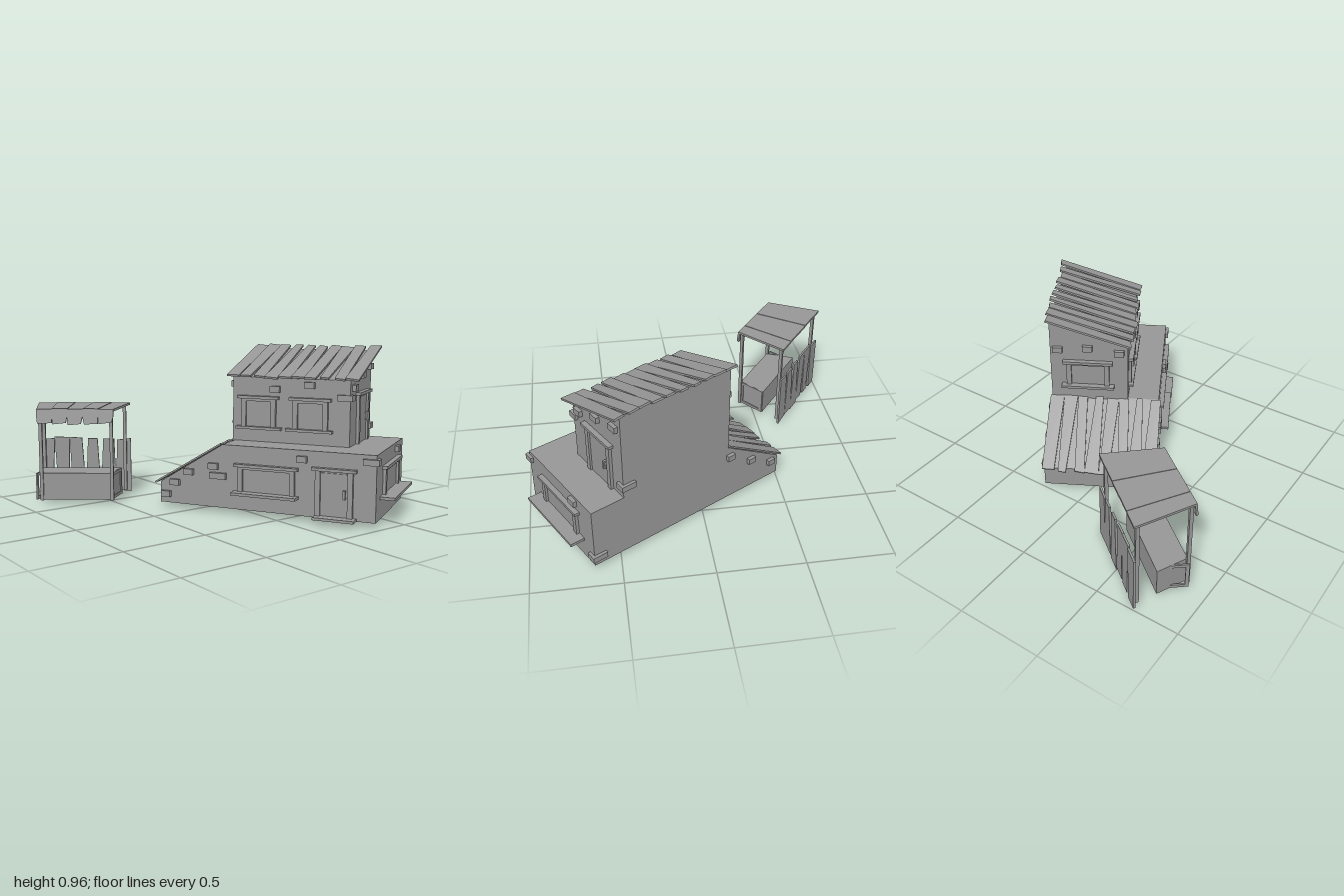
import * as THREE from 'three';

const material = new THREE.MeshStandardMaterial({ color: 0x969696, flatShading: true });

function seeded(seed) {
  return () => {
    seed = (seed * 16807) % 2147483647;
    return seed / 2147483647;
  };
}

function add(parent, name, geometry) {
  const mesh = new THREE.Mesh(geometry, material);
  mesh.name = name;
  parent.add(mesh);
  return mesh;
}

// Box given by its limits on each axis
function box(parent, name, x0, x1, y0, y1, z0, z1) {
  const mesh = add(parent, name, new THREE.BoxGeometry(x1 - x0, y1 - y0, z1 - z0));
  mesh.position.set((x0 + x1) / 2, (y0 + y1) / 2, (z0 + z1) / 2);
}

function prism(points, depth) {
  const shape = new THREE.Shape(points.map(([x, y]) => new THREE.Vector2(x, y)));
  return new THREE.ExtrudeGeometry(shape, { depth, bevelEnabled: false });
}

// Group whose axes are laid along the given directions
function oriented(parent, name, origin, x, y) {
  const group = new THREE.Group();
  group.name = name;
  const ax = new THREE.Vector3(...x).normalize();
  const ay = new THREE.Vector3(...y).normalize();
  const m = new THREE.Matrix4().makeBasis(ax, ay, ax.clone().cross(ay));
  group.quaternion.setFromRotationMatrix(m);
  group.position.set(...origin);
  parent.add(group);
  return group;
}

// Row of rough boards side by side along x, running up along y.
// Each seam is a wedge, closed at one end and open at the other.
function boards(parent, name, { count, width, length, thick, seed, ragged, gap, tilt = 0 }) {
  const rnd = seeded(seed);
  const step = width / count;
  const seam = () => {
    const open = gap * (0.4 + 0.6 * rnd());
    return rnd() < 0.5 ? [open, 0] : [0, open];
  };
  let left = [0, 0];
  for (let i = 0; i < count; i++) {
    const right = i < count - 1 ? seam() : [0, 0];
    const a = -step / 2, b = step / 2;
    const low = rnd() * ragged, high = length - rnd() * ragged;
    const skew = (rnd() - 0.5) * 0.02;
    const board = add(parent, name, prism([
      [a + left[0], low], [b - right[0], Math.max(0, low + skew)],
      [b - right[1], high - skew], [a + left[1], high],
    ], thick));
    board.position.set((i + 0.5) * step, 0, rnd() * 0.005);
    board.rotation.y = tilt * (0.6 + 0.6 * rnd());
    left = right;
  }
}

// Frame around an opening; wall groups have x along the wall and z outward
function frame(wall, name, x0, x1, y0, y1, bar = 0.03) {
  box(wall, name + 'Post', x0, x0 + bar, y0, y1, -0.01, 0.018);
  box(wall, name + 'Post', x1 - bar, x1, y0, y1, -0.01, 0.018);
  box(wall, name + 'Lintel', x0 - 0.02, x1 + 0.02, y1, y1 + 0.017, -0.01, 0.03);
}

function windowFrame(wall, x0, x1, y0, y1, sill0, sill1, sillDepth) {
  frame(wall, 'window', x0, x1, y0, y1);
  box(wall, 'windowPane', x0 + 0.03, x1 - 0.03, y0, y1, -0.01, 0.004);
  box(wall, 'windowRail', x0 + 0.03, x1 - 0.03, y1 - 0.015, y1, -0.01, 0.015);
  box(wall, 'windowSill', sill0, sill1, y0 - 0.016, y0, -0.01, sillDepth);
}

function door(wall, x0, x1, y0, y1) {
  frame(wall, 'door', x0, x1, y0, y1);
  box(wall, 'doorPanel', x0 + 0.03, x1 - 0.03, y0, y1 - 0.012, -0.01, 0.006);
  const hx = x1 - 0.046, hy = (y0 + y1) / 2 + 0.003;
  box(wall, 'doorHandle', hx - 0.007, hx + 0.007, hy - 0.025, hy + 0.025, 0.022, 0.03);
  for (const s of [-1, 1]) {
    box(wall, 'handleStub', hx - 0.007, hx + 0.007, hy + s * 0.02 - 0.005, hy + s * 0.02 + 0.005, 0, 0.024);
  }
}

function bricks(wall, list) {
  for (const [x, y, w = 0.06] of list) {
    box(wall, 'brick', x - w / 2, x + w / 2, y - 0.018, y + 0.018, -0.03, 0.022);
  }
}

function buildHouse() {
  const house = new THREE.Group();
  house.name = 'house';
  house.rotation.y = 0.507;
  const L = -0.202, R = 0.456, F = 0.991, UL = -0.012, UB = 0.072, UF = 0.787;

  // Lower storey with the sloping back
  const lower = prism([[-0.32, 0.03], [F, 0.03], [F, 0.405], [0.085, 0.405], [-0.32, 0.155]], R - L);
  lower.rotateY(-Math.PI / 2).translate(R, 0, 0);
  add(house, 'lowerStorey', lower);

  // Upper storey with a slanted top
  const upper = prism([[UL, 0.4], [R, 0.4], [R, 0.932], [UL, 0.785]], UF - UB);
  upper.translate(0, 0, UB);
  add(house, 'upperStorey', upper);

  // Plank roofs
  const roof = oriented(house, 'mainRoof', [-0.045, 0.778, 0.04], [0, 0, 1], [0.515, 0.16, 0]);
  boards(roof, 'roofBoard', { count: 10, width: 0.8, length: 0.56, thick: 0.012, seed: 71, ragged: 0.025, gap: 0.02, tilt: 0.08 });
  const rear = oriented(house, 'rearRoof', [0.466, 0.143, -0.352], [-1, 0, 0], [0, 0.26, 0.43]);
  boards(rear, 'rearRoofBoard', { count: 8, width: 0.68, length: 0.515, thick: 0.01, seed: 913, ragged: 0.02, gap: 0.03 });

  const up = [0, 1, 0];
  // Left side, ground floor
  const leftWall = oriented(house, 'leftWall', [L, 0, 0], [0, 0, 1], up);
  windowFrame(leftWall, 0.185, 0.53, 0.14, 0.285, 0.16, 0.55, 0.063);
  door(leftWall, 0.65, 0.865, 0.045, 0.3);
  box(leftWall, 'doorStep', 0.65, 0.885, 0.03, 0.045, -0.01, 0.066);
  bricks(leftWall, [[-0.13, 0.23], [0.03, 0.275], [0.06, 0.22, 0.1], [-0.28, 0.085], [0.57, 0.355], [-0.22, 0.16]]);

  // Left side, upper floor
  const upperLeft = oriented(house, 'upperLeftWall', [UL, 0, 0], [0, 0, 1], up);
  windowFrame(upperLeft, 0.13, 0.345, 0.495, 0.66, 0.1, 0.38, 0.03);
  windowFrame(upperLeft, 0.45, 0.66, 0.495, 0.66, 0.41, 0.69, 0.03);
  bricks(upperLeft, [[0.34, 0.72], [0.55, 0.75]]);

  // Front, ground floor
  const front = oriented(house, 'frontWall', [0, 0, F], [1, 0, 0], up);
  windowFrame(front, -0.05, 0.31, 0.16, 0.307, -0.114, 0.36, 0.085);
  bricks(front, [[0.28, 0.37]]);

  // Front, upper floor
  const upperFront = oriented(house, 'upperFrontWall', [0, 0, UF], [1, 0, 0], up);
  door(upperFront, 0.125, 0.36, 0.405, 0.69);
  bricks(upperFront, [[0.055, 0.74], [0.23, 0.8], [0.405, 0.84]]);

  // Back, upper floor
  const upperBack = oriented(house, 'upperBackWall', [0, 0, UB], [-1, 0, 0], up);
  windowFrame(upperBack, -0.36, -0.1, 0.51, 0.66, -0.39, -0.07, 0.04);
  bricks(upperBack, [[-0.41, 0.75], [-0.23, 0.765], [-0.04, 0.74]]);

  // Right side
  const rightWall = oriented(house, 'rightWall', [R, 0, 0], [0, 0, -1], up);
  bricks(rightWall, [[-0.06, 0.33, 0.05], [0.1, 0.23, 0.05], [0.26, 0.14, 0.05]]);

  // Corner stones
  for (const [x, y, z] of [[L, 0.365, F], [R, 0.085, F], [R, 0.475, UF], [UL, 0.685, UF]]) {
    const stone = add(house, 'cornerStone', new THREE.BoxGeometry(0.06, 0.034, 0.09));
    stone.position.set(x + (x < 0.2 ? 0.012 : -0.012), y, z - 0.028);
  }
  return house;
}

function buildStall() {
  const stall = new THREE.Group();
  stall.name = 'marketStall';
  stall.position.set(-0.606, 0, -0.677);
  stall.rotation.y = -0.658;

  // Posts splay outward toward the back
  for (const s of [-1, 1]) {
    box(stall, 'frontPost', s * 0.215 - 0.01, s * 0.215 + 0.01, 0.02, 0.575, 0.14, 0.16);
    box(stall, 'backPost', s * 0.26 - 0.01, s * 0.26 + 0.01, 0.02, 0.575, -0.16, -0.14);
  }

  // Counter with a framed panel on each end
  const counter = prism([[-0.207, -0.15], [0.207, -0.15], [0.248, 0.035], [-0.248, 0.035]], 0.165);
  add(stall, 'counter', counter.rotateX(-Math.PI / 2).translate(0, 0.022, 0));
  for (const s of [-1, 1]) {
    const end = oriented(stall, 'counterEnd', [s * 0.2275, 0.104, 0.0575], [s * 0.041, 0, -s * 0.185], [0, 1, 0]);
    for (const e of [-1, 1]) {
      box(end, 'endRail', -0.09, 0.09, e * 0.073 - 0.009, e * 0.073 + 0.009, -0.004, 0.006);
      box(end, 'endStile', e * 0.08 - 0.01, e * 0.08 + 0.01, -0.064, 0.064, -0.004, 0.006);
    }
  }

  // Back wall of uneven planks
  const back = oriented(stall, 'stallBack', [0.295, 0, -0.162], [-1, 0, 0], [0, 1, 0]);
  boards(back, 'backBoard', { count: 6, width: 0.59, length: 0.365, thick: 0.012, seed: 4242, ragged: 0.02, gap: 0.022 });

  // Tapered roof boards whose front ends hang down as a ragged fringe
  const rnd = seeded(57), n = 5;
  for (let i = 0; i < n; i++) {
    const at = (k, half) => (k / n * 2 - 1) * half;
    const a = at(i, 0.232), b = at(i + 1, 0.232);
    const top = prism([[a, -0.172], [b, -0.172], [at(i + 1, 0.292), 0.177], [at(i, 0.292), 0.177]], 0.014);
    const board = add(stall, 'awningBoard', top.rotateX(-Math.PI / 2));
    board.position.y = 0.57 + 0.003 * (i % 2);
    const drop = -0.085 - 0.015 * rnd();
    const tab = add(stall, 'awningFringe', prism([
      [a, 0], [a, -0.045], [a + 0.01 * rnd(), drop], [b - 0.012 * rnd(), drop + 0.012 * rnd()], [b, -0.045], [b, 0],
    ], 0.012));
    tab.position.set(0, 0.582, 0.162);
    tab.rotation.x = -0.12;
  }
  return stall;
}

export function createModel() {
  const model = new THREE.Group();
  model.name = 'houseAndStall';
  model.add(buildHouse(), buildStall());
  return model;
}
